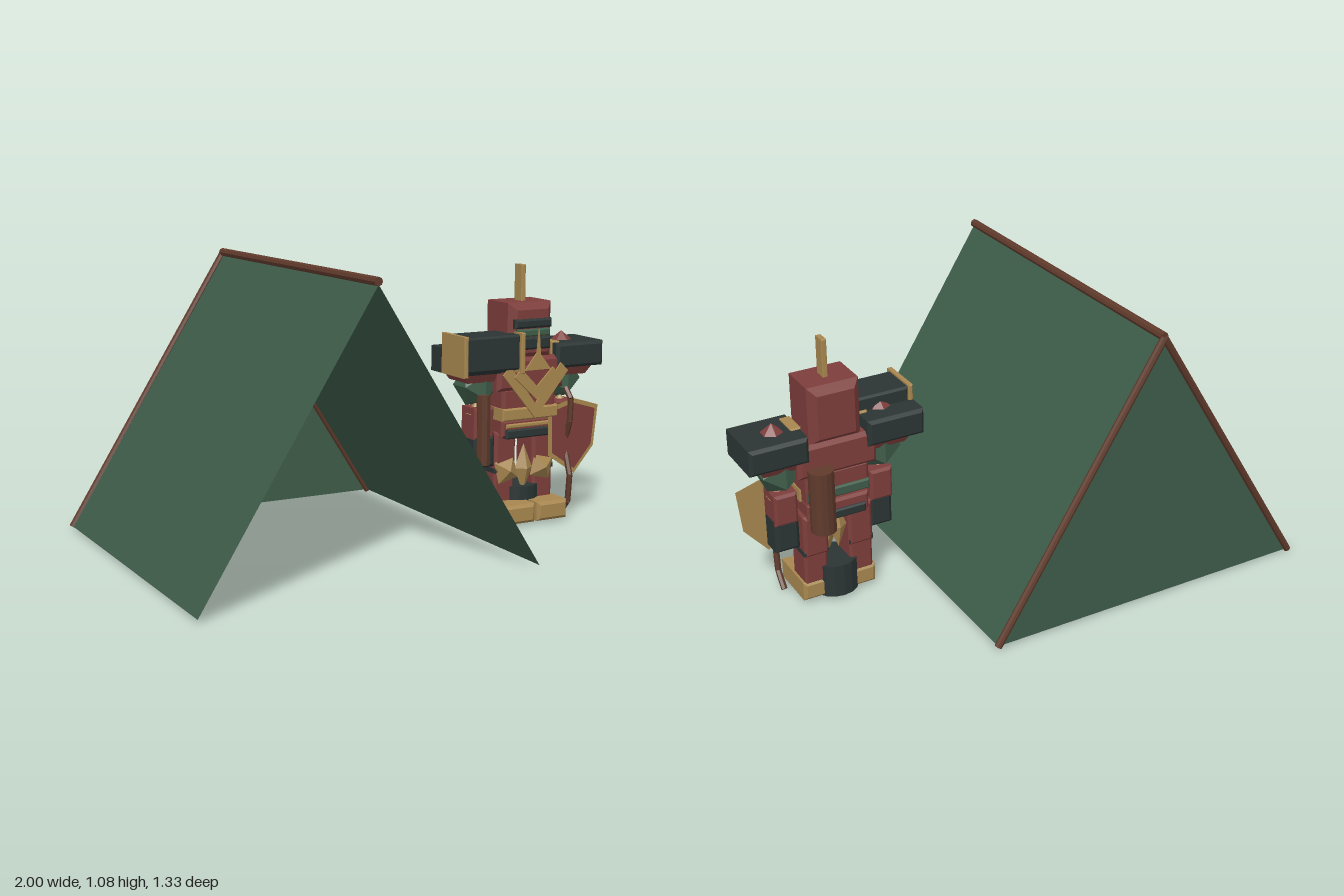
import * as THREE from 'three';

const mat = (name, color) => Object.assign(new THREE.MeshStandardMaterial({ color }), { name });

export function createModel() {
  const red = mat('red armour', 0x7d3e3b);
  const gold = mat('gold trim', 0xa8874f);
  const dark = mat('dark plate', 0x2b3434);
  const green = mat('green cloth', 0x3e5c49);
  const brown = mat('brown wood', 0x5f3a2b);
  const sheetGreen = mat('tent canvas', 0x3e5c49);
  const sheetGold = mat('shield gold', 0xa8874f);
  sheetGreen.side = sheetGold.side = THREE.DoubleSide;

  const model = new THREE.Group();
  const tent = new THREE.Group();
  const figure = new THREE.Group();
  tent.name = 'tent';
  figure.name = 'armouredFigure';
  figure.position.x = 0.655;
  model.add(tent, figure);

  // faceted mesh helper
  const add = (parent, name, geo, material, x = 0, y = 0, z = 0) => {
    const g = geo.index ? geo.toNonIndexed() : geo;
    g.computeVertexNormals();
    const m = new THREE.Mesh(g, material);
    m.name = name;
    m.position.set(x, y, z);
    parent.add(m);
    return m;
  };
  // box with chamfered edges, given by its limits
  const box = (name, material, [x0, x1], [y0, y1], [z0, z1], b = 0.008) => {
    const w = (x1 - x0) / 2 - b, h = (y1 - y0) / 2 - b, d = z1 - z0 - 2 * b;
    const s = new THREE.Shape([[-w, -h], [w, -h], [w, h], [-w, h]].map(p => new THREE.Vector2(...p)));
    const g = new THREE.ExtrudeGeometry(s, { depth: d, bevelSize: b, bevelThickness: b, bevelSegments: 1 });
    g.translate(0, 0, -d / 2);
    return add(figure, name, g, material, (x0 + x1) / 2, (y0 + y1) / 2, (z0 + z1) / 2);
  };
  // flat plate with an outline, front at z + t
  const plate = (name, material, pts, z, t = 0.008) => {
    const s = new THREE.Shape(pts.map(p => new THREE.Vector2(...p)));
    const g = t ? new THREE.ExtrudeGeometry(s, { depth: t, bevelEnabled: false }) : new THREE.ShapeGeometry(s);
    return add(figure, name, g, material, 0, 0, z);
  };
  // straight rod between two points
  const rod = (parent, name, a, b, r, material, sides = 8) => {
    const p = new THREE.Vector3(...a), q = new THREE.Vector3(...b), dir = q.clone().sub(p);
    const m = add(parent, name, new THREE.CylinderGeometry(r, r, dir.length(), sides), material);
    m.position.copy(p).add(q).multiplyScalar(0.5);
    m.quaternion.setFromUnitVectors(new THREE.Vector3(0, 1, 0), dir.normalize());
    return m;
  };

  // tent: two slopes and a closed back
  const L = -0.99, R = 0.325, A = -0.3325, top = 1.055, base = 0.012, F = 0.663, B = -0.655;
  const sheet = (name, pts) => {
    const g = new THREE.BufferGeometry();
    g.setAttribute('position', new THREE.Float32BufferAttribute(pts.flat(), 3));
    g.setIndex(pts.length === 4 ? [0, 1, 2, 0, 2, 3] : [0, 1, 2]);
    add(tent, name, g, sheetGreen);
  };
  sheet('leftSlope', [[R, base, F], [R, base, B], [A, top, B], [A, top, F]]);
  sheet('rightSlope', [[L, base, B], [L, base, F], [A, top, F], [A, top, B]]);
  sheet('backPanel', [[R, base, B], [L, base, B], [A, top, B]]);
  rod(tent, 'ridgePole', [A, 1.065, B], [A, 1.065, F], 0.016, brown);
  for (const x of [L, R]) rod(tent, 'backPole', [x, 0.01, B], [A, 1.062, B], 0.014, brown);

  // head, visor and crest
  box('helmet', red, [-0.1, 0.1], [0.66, 0.885], [-0.095, 0.107], 0.028);
  box('browBand', dark, [-0.085, 0.085], [0.785, 0.822], [0.06, 0.118]);
  box('visor', green, [-0.078, 0.078], [0.752, 0.782], [0.06, 0.118], 0.006);
  box('jaw', dark, [-0.082, 0.082], [0.7, 0.75], [0.06, 0.115]);
  box('crest', gold, [-0.01, 0.01], [0.87, 1.028], [-0.015, 0.038], 0.003);

  // torso and waist
  box('chest', red, [-0.155, 0.155], [0.54, 0.67], [-0.092, 0.107], 0.015);
  box('abdomen', red, [-0.125, 0.125], [0.43, 0.55], [-0.08, 0.095], 0.012);
  box('backSash', green, [-0.12, 0.12], [0.44, 0.48], [-0.09, 0.02], 0.006);
  box('goldBelt', gold, [-0.13, 0.13], [0.42, 0.47], [-0.03, 0.105], 0.006);
  box('hips', red, [-0.122, 0.122], [0.35, 0.42], [-0.075, 0.085], 0.01);
  box('lowerBelt', dark, [-0.105, 0.105], [0.345, 0.382], [-0.085, 0.095], 0.006);
  box('beltTrim', gold, [-0.105, 0.105], [0.388, 0.405], [0.05, 0.094], 0.004);

  // gold chest chevrons and spire
  const chevron = (w, y0, y1, t) => [[-w, y1], [-w + t * 0.7, y1 + t * 0.7], [0, y0 + t * 1.2],
    [w - t * 0.7, y1 + t * 0.7], [w, y1], [0, y0]].reverse();
  plate('outerChevron', gold, chevron(0.152, 0.43, 0.61, 0.048), 0.128);
  plate('innerChevron', gold, chevron(0.105, 0.505, 0.60, 0.045), 0.138);
  plate('chestTriangle', gold, [[-0.06, 0.625], [0.06, 0.625], [0, 0.70]], 0.142);
  plate('chestSpire', gold, [[-0.012, 0.65], [0.012, 0.65], [0, 0.785]], 0.146);
  box('chestMount', red, [-0.07, 0.07], [0.52, 0.64], [0.09, 0.128]);

  // parts on both sides
  for (const s of [-1, 1]) {
    const span = (a, b) => s > 0 ? [a, b] : [-b, -a];
    box('shoulderPlate', dark, span(0.115, 0.34), [0.615, 0.715], [-0.11, 0.115], 0.012);
    add(figure, 'shoulderStud', new THREE.ConeGeometry(0.048, 0.04, 6), red, s * 0.21, 0.73, 0);
    const bracket = add(figure, 'shoulderBracket', new THREE.CylinderGeometry(0.13, 0.1, 0.04, 4, 1, false, Math.PI / 4), red, s * 0.21, 0.6, 0.005);
    bracket.scale.x = 0.95;
    add(figure, 'upperArmPad', new THREE.IcosahedronGeometry(0.09, 0), green, s * 0.195, 0.56, 0.002);
    add(figure, 'elbowSpike', new THREE.ConeGeometry(0.042, 0.05, 6), gold, s * 0.2, 0.472, 0.012);
    box('forearm', red, span(0.145, 0.235), [0.35, 0.475], [-0.045, 0.065], 0.01);
    box('hand', dark, span(0.14, 0.235), [0.235, 0.365], [-0.037, 0.068], 0.014);
    box('collarRib', gold, span(0.11, 0.15), [0.655, 0.72], [-0.03, 0.08], 0.006);

    // leg, knee plate and boot
    box('thigh', red, span(0.04, 0.138), [0.2, 0.37], [-0.065, 0.065], 0.012);
    box('shin', red, span(0.045, 0.138), [0.08, 0.215], [-0.055, 0.06], 0.01);
    box('kneeBand', dark, span(0.042, 0.14), [0.205, 0.225], [-0.06, 0.062], 0.004);
    const knee = add(figure, 'kneePlate', new THREE.OctahedronGeometry(0.065, 0), gold, s * 0.085, 0.215, 0.06);
    knee.rotation.z = s * 0.55;
    knee.scale.set(1, 1, 0.55);
    box('boot', gold, span(0.006, 0.147), [0.014, 0.09], [-0.058, 0.16], 0.012);
  }
  const loin = add(figure, 'loinDiamond', new THREE.OctahedronGeometry(0.1, 0), gold, 0, 0.215, 0.055);
  loin.scale.set(0.42, 1, 0.3);
  add(figure, 'rearDiamond', loin.geometry.clone(), gold, 0, 0.3, -0.055).scale.set(0.35, 0.9, 0.25);
  add(figure, 'centreDrum', new THREE.CylinderGeometry(0.09, 0.09, 0.13, 16), dark, 0, 0.08, 0);

  // capped block on the right shoulder
  box('shoulderBlock', dark, [-0.325, -0.078], [0.63, 0.768], [-0.015, 0.143], 0.008);
  for (const x of [-0.341, -0.082]) box('blockCap', gold, [x, x + 0.018], [0.615, 0.775], [-0.02, 0.157], 0.004);

  // bedroll and side case
  rod(figure, 'bedroll', [0.08, 0.335, -0.112], [0.08, 0.582, -0.112], 0.048, brown, 14);
  rod(figure, 'sideCase', [-0.2, 0.25, 0.07], [-0.2, 0.53, 0.07], 0.028, brown, 8);

  // bow
  const bow = [[0.085, 0.53], [0.122, 0.49], [0.118, 0.4], [0.083, 0.3], [0.125, 0.18], [0.115, 0.07], [0.065, 0.012]];
  for (let i = 1; i < bow.length; i++)
    rod(figure, 'bowLimb', [0.178, bow[i - 1][1], bow[i - 1][0]], [0.178, bow[i][1], bow[i][0]], 0.012, brown, 6);

  // shield: gold sheet with a red face
  const outline = [[0.085, 0.455], [0.205, 0.488], [0.327, 0.452], [0.308, 0.285], [0.215, 0.178], [0.09, 0.262]].reverse();
  plate('shieldRim', sheetGold, outline, 0.1, 0);
  plate('shieldFace', red, outline.map(([x, y]) => [0.206 + (x - 0.206) * 0.86, 0.345 + (y - 0.345) * 0.87]), 0.101, 0.003);

  return model;
}
